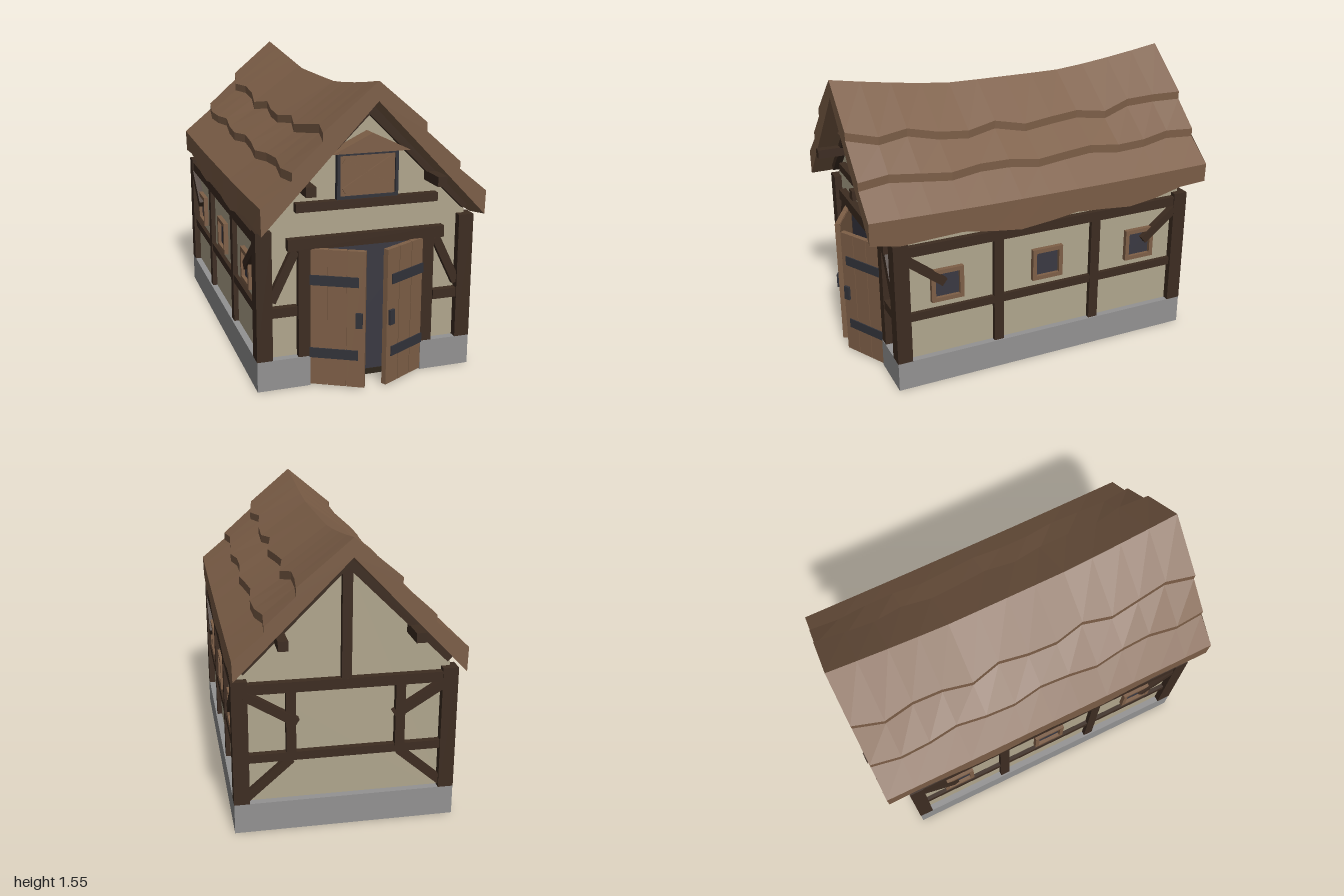
import * as THREE from 'three';

const mat = (name, color) => {
  const m = new THREE.MeshStandardMaterial({ color });
  m.name = name;
  return m;
};
const plaster = mat('plaster', 0xb0a68d);
const timber = mat('darkTimber', 0x3d2c21);
const wood = mat('plankWood', 0x7e5f47);
const thatch = mat('roofBrown', 0x7c5e47);
thatch.flatShading = true;
const stone = mat('stone', 0x939292);
const iron = mat('iron', 0x32333a);
const glass = mat('darkOpening', 0x3a3942);
const floorMat = mat('floorDark', 0x2e251b);

function add(parent, name, geo, material, x = 0, y = 0, z = 0) {
  const mesh = new THREE.Mesh(geo, material);
  mesh.name = name;
  mesh.position.set(x, y, z);
  parent.add(mesh);
  return mesh;
}

// Box given by its min and max on each axis
function block(parent, name, m, x0, x1, y0, y1, z0, z1) {
  const geo = new THREE.BoxGeometry(Math.abs(x1 - x0), y1 - y0, Math.abs(z1 - z0));
  return add(parent, name, geo, m, (x0 + x1) / 2, (y0 + y1) / 2, (z0 + z1) / 2);
}

// Diagonal beam in the xy plane
function strut(parent, name, m, [x0, y0], [x1, y1], width, z0, z1) {
  const geo = new THREE.BoxGeometry(Math.hypot(x1 - x0, y1 - y0), width, Math.abs(z1 - z0));
  const b = add(parent, name, geo, m, (x0 + x1) / 2, (y0 + y1) / 2, (z0 + z1) / 2);
  b.rotation.z = Math.atan2(y1 - y0, x1 - x0);
  return b;
}

const polygon = pts => new THREE.Shape(pts.map(p => new THREE.Vector2(...p)));
const rect = (w, h) => polygon([[-w / 2, -h / 2], [w / 2, -h / 2], [w / 2, h / 2], [-w / 2, h / 2]]);
const extrude = (shape, depth) => new THREE.ExtrudeGeometry(shape, { depth, bevelEnabled: false });

// Square frame facing +z around an opening
function frameGeo(w, h, border, depth) {
  const s = rect(w, h);
  s.holes.push(rect(w - 2 * border, h - 2 * border));
  return extrude(s, depth);
}

// Sagging roof with three ragged courses, lofted from cross-sections along z
function roofGeo() {
  const steps = 12, sections = [];
  for (let i = 0; i <= steps; i++) {
    const z = -0.988 + (1.974 * i) / steps;
    const sag = Math.pow(Math.max(0, (Math.abs(z) - 0.3) / 0.69), 1.3);
    const ridge = 1.46 + 0.09 * sag;
    const half = side => {
      const j1 = 0.02 * Math.sin(i * 2.3 + side), j2 = 0.014 * Math.sin(i * 1.9 + 2 * side + 1);
      const j3 = 0.02 * Math.sin(i * 1.5 + side * 0.6);
      const x1 = 0.255 + j1, x2 = 0.422 + j2;
      const y1 = 1.275 + 0.062 * sag - 0.8 * j1, y2 = 1.125 + 0.02 * sag - 0.8 * j2;
      return [[x1, y1], [x1, y1 - 0.043], [x2, y2], [x2, y2 - 0.045],
        [0.578, 0.968 + 0.012 * sag], [0.575, 0.815 + 0.05 * sag + j3]]
        .map(([x, y]) => [x * side, y, z]);
    };
    sections.push([[0, ridge, z], ...half(1), [0, ridge - 0.095, z], ...half(-1).reverse()]);
  }
  const pos = [];
  const tri = (a, b, c) => pos.push(...a, ...b, ...c);
  const n = sections[0].length;
  for (let i = 0; i < steps; i++) {
    for (let j = 0; j < n; j++) {
      const k = (j + 1) % n, p = sections[i], q = sections[i + 1];
      tri(p[j], q[k], p[k]);
      tri(p[j], q[j], q[k]);
    }
  }
  // End faces fan out from the underside of the ridge
  const back = sections[0], front = sections[steps];
  for (let j = 0; j < n; j++) {
    const k = (j + 1) % n;
    if (j === 7 || k === 7) continue;
    tri(front[7], front[k], front[j]);
    tri(back[7], back[j], back[k]);
  }
  const geo = new THREE.BufferGeometry();
  geo.setAttribute('position', new THREE.Float32BufferAttribute(pos, 3));
  geo.computeVertexNormals();
  return geo;
}

// Long wall timbers and windows, built facing +z with local x along the wall
function sideWall(name) {
  const g = new THREE.Group();
  g.name = name;
  block(g, 'topPlate', timber, -0.8, 0.8, 0.755, 0.81, 0.52, 0.57);
  block(g, 'midRail', timber, -0.8, 0.8, 0.385, 0.43, 0.52, 0.562);
  for (const s of [-1, 1]) {
    block(g, 'wallPost', timber, s * 0.263, s * 0.318, 0.16, 0.76, 0.52, 0.566);
    strut(g, 'wallBrace', timber, [s * 0.81, 0.745], [s * 0.6, 0.58], 0.045, 0.53, 0.575);
  }
  for (const x of [-0.58, 0, 0.58]) {
    add(g, 'windowFrame', frameGeo(0.18, 0.18, 0.023, 0.03), wood, x, 0.56, 0.535);
    block(g, 'windowPane', glass, x - 0.07, x + 0.07, 0.49, 0.63, 0.537, 0.546);
  }
  return g;
}

// Door leaf standing ajar; side is +1 or -1
function doorLeaf(side) {
  const g = new THREE.Group();
  g.name = side > 0 ? 'leftDoor' : 'rightDoor';
  const d = -side;
  for (let i = 0; i < 3; i++) {
    block(g, 'doorPlank', wood, d * (i * 0.094), d * (i * 0.094 + 0.09), 0.008, 0.725, -0.012, 0.016);
  }
  block(g, 'doorBacking', wood, d * 0.002, d * 0.276, 0.012, 0.72, -0.014, 0.01);
  for (const y of [0.155, 0.54]) block(g, 'hingeStrap', iron, 0, d * 0.245, y, y + 0.052, -0.01, 0.022);
  block(g, 'doorHandle', iron, d * 0.232, d * 0.266, 0.33, 0.408, 0.01, 0.03);
  g.position.set(side * 0.295, 0, 0.852);
  g.rotation.y = side * 0.49;
  return g;
}

export function createModel() {
  const model = new THREE.Group();
  model.name = 'timberBarn';

  // Foundation ring with a gap for the doors
  const ring = polygon([[0.3, -0.87], [0.575, -0.87], [0.575, 0.87], [-0.575, 0.87], [-0.575, -0.87],
    [-0.3, -0.87], [-0.3, -0.79], [-0.495, -0.79], [-0.495, 0.79], [0.495, 0.79], [0.495, -0.79], [0.3, -0.79]]);
  add(model, 'foundation', extrude(ring, 0.16).rotateX(-Math.PI / 2), stone);
  block(model, 'floor', floorMat, -0.5, 0.5, 0.03, 0.06, -0.8, 0.8);
  block(model, 'threshold', floorMat, -0.3, 0.3, 0.0, 0.03, 0.78, 0.84);

  // Plaster body with gables
  const gable = polygon([[-0.54, 0.1], [0.54, 0.1], [0.54, 0.85], [0, 1.4], [-0.54, 0.85]]);
  add(model, 'plasterWalls', extrude(gable, 1.66), plaster, 0, 0, -0.83);
  add(model, 'roof', roofGeo(), thatch);

  // Long walls
  for (const s of [-1, 1]) {
    const wall = sideWall(s > 0 ? 'leftWall' : 'rightWall');
    wall.rotation.y = s * Math.PI / 2;
    model.add(wall);
  }

  // Timbers shared by both gable ends
  for (const s of [-1, 1]) {
    for (const e of [-1, 1]) {
      block(model, 'cornerPost', timber, s * 0.495, s * 0.576, 0.16, 0.828, e * 0.79, e * 0.871);
      strut(model, 'gableRafter', timber, [0, 1.405], [s * 0.53, 0.88], 0.045, e * 0.82, e * 0.872);
      block(model, 'purlinEnd', timber, s * 0.31, s * 0.36, 1.02, 1.07, e * 0.8, e * 0.998);
    }
    // Front framing
    block(model, 'doorPost', timber, s * 0.298, s * 0.36, 0.16, 0.725, 0.82, 0.868);
    block(model, 'frontRail', timber, s * 0.365, s * 0.5, 0.383, 0.433, 0.82, 0.866);
    strut(model, 'frontBrace', timber, [s * 0.375, 0.715], [s * 0.497, 0.465], 0.045, 0.82, 0.862);
    model.add(doorLeaf(s));
    // Rear framing
    block(model, 'rearPost', timber, s * 0.255, s * 0.305, 0.4, 0.76, -0.866, -0.82);
    strut(model, 'rearUpperBrace', timber, [s * 0.51, 0.75], [s * 0.25, 0.59], 0.045, -0.872, -0.82);
    strut(model, 'rearLowerBrace', timber, [s * 0.51, 0.19], [s * 0.28, 0.39], 0.045, -0.862, -0.82);
  }
  block(model, 'doorLintel', timber, -0.413, 0.413, 0.72, 0.78, 0.82, 0.871);
  block(model, 'gableBeam', timber, -0.372, 0.372, 0.912, 0.957, 0.82, 0.87);
  block(model, 'doorOpening', glass, -0.3, 0.3, 0, 0.722, 0.826, 0.835);
  block(model, 'rearTopBeam', timber, -0.5, 0.5, 0.755, 0.81, -0.868, -0.82);
  block(model, 'rearRail', timber, -0.5, 0.5, 0.385, 0.43, -0.864, -0.82);
  block(model, 'rearKingPost', timber, -0.025, 0.025, 0.8, 1.38, -0.866, -0.82);

  // Loft hatch with crossed boards and a small hood
  add(model, 'hatchFrame', frameGeo(0.32, 0.235, 0.016, 0.035), iron, 0, 1.073, 0.825);
  block(model, 'hatchPanel', wood, -0.146, 0.146, 0.97, 1.176, 0.825, 0.85);
  for (const s of [-1, 1]) {
    strut(model, 'hatchCross', wood, [-0.125, 1.073 - s * 0.075], [0.125, 1.073 + s * 0.075], 0.03, 0.845, 0.859 + s * 0.001);
  }
  add(model, 'hatchHood', extrude(polygon([[-0.2, 1.195], [0.2, 1.195], [0, 1.29]]), 0.09), wood, 0, 0, 0.82);

  return model;
}
